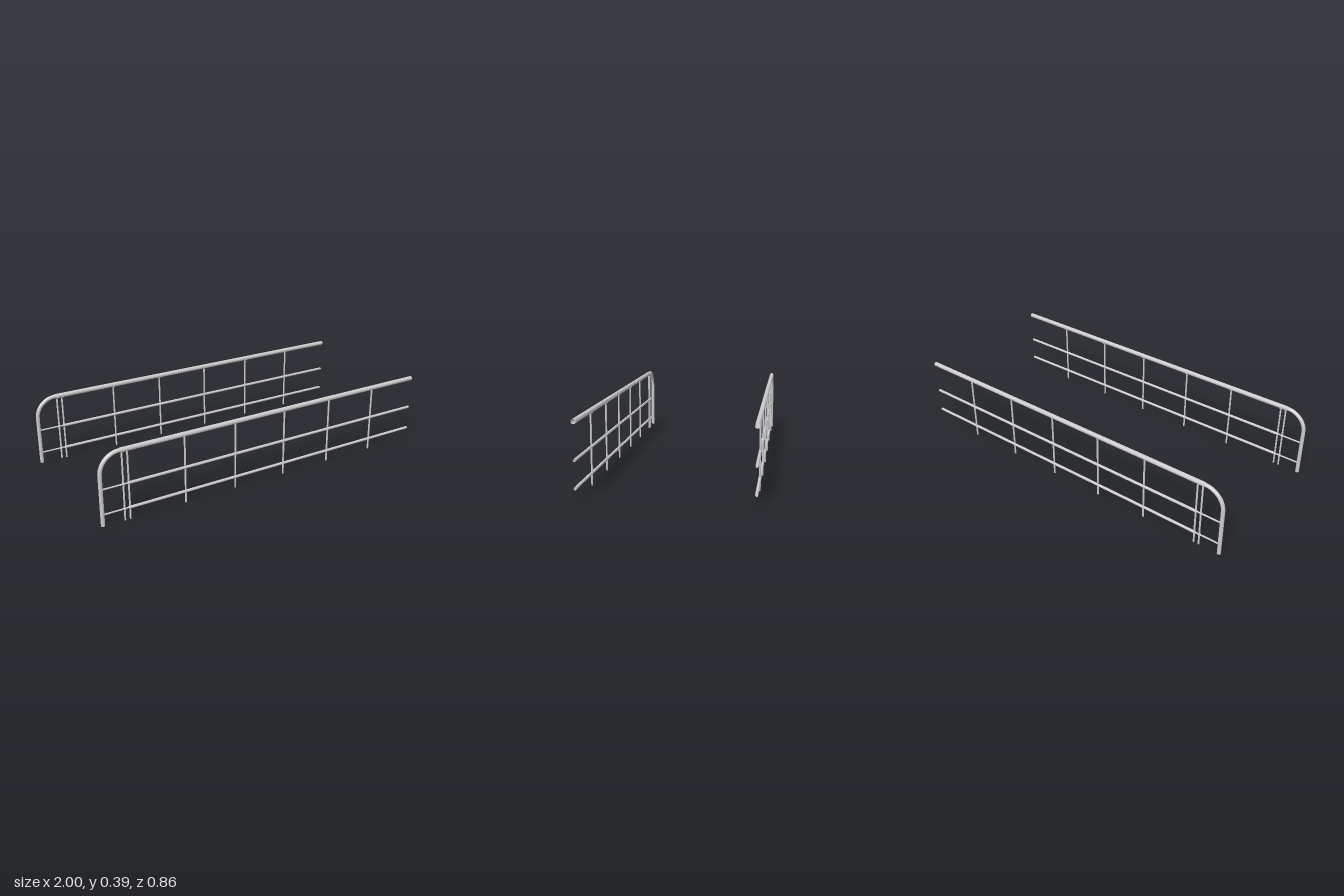
import * as THREE from 'three';

// Open-ended low-poly pipes
const material = new THREE.MeshStandardMaterial({ color: 0xcccccc, flatShading: true, side: THREE.DoubleSide });

function add(group, name, geometry, x = 0, y = 0, z = 0) {
  const mesh = new THREE.Mesh(geometry, material);
  mesh.name = name;
  mesh.position.set(x, y, z);
  group.add(mesh);
  return mesh;
}

// Horizontal open pipe along x
function bar(group, name, x0, x1, y, r, sides) {
  const geometry = new THREE.CylinderGeometry(r, r, x1 - x0, sides, 1, true);
  add(group, name, geometry, (x0 + x1) / 2, y).rotation.z = Math.PI / 2;
}

function createRailing(inward) {
  const railing = new THREE.Group();
  const topY = 0.379;
  const endX = -0.989;
  const bend = 0.108;
  const bendX = endX + bend;
  const corner = topY - bend;
  const rails = [0.197, 0.063];

  // Handrail with a slightly slimmer bent end post
  bar(railing, 'handrail', bendX, 1, topY, 0.0125, 12);
  const k = bend * 0.552;
  const path = new THREE.CurvePath();
  path.add(new THREE.LineCurve3(new THREE.Vector3(endX, 0.004, 0), new THREE.Vector3(endX, corner, 0)));
  path.add(new THREE.CubicBezierCurve3(
    new THREE.Vector3(endX, corner, 0), new THREE.Vector3(endX, corner + k, 0),
    new THREE.Vector3(bendX - k, topY, 0), new THREE.Vector3(bendX, topY, 0)));
  add(railing, 'bentEndPost', new THREE.TubeGeometry(path, 32, 0.0105, 12, false));

  // Lower rails, thinner in the end bay
  for (const y of rails) {
    bar(railing, 'lowerRail', -0.842, 1, y, 0.0075, 10);
    bar(railing, 'endBayRail', endX, -0.842, y, 0.0045, 8);
  }

  // Uprights with collars at the rails and saddles under the handrail
  for (const x of [-0.871, -0.842, -0.53, -0.231, 0.08, 0.383, 0.696]) {
    add(railing, 'upright', new THREE.CylinderGeometry(0.005, 0.005, 0.375, 8), x, 0.1875);
    const saddle = new THREE.CylinderGeometry(0.014, 0.006, 0.008, 12);
    add(railing, 'saddle', saddle, x, 0.368, 0.004 * inward).scale.z = 0.7;
    for (const y of rails) {
      add(railing, 'collar', new THREE.SphereGeometry(0.0085, 10, 6), x, y);
    }
  }
  return railing;
}

export function createModel() {
  const model = new THREE.Group();
  model.name = 'railings';
  for (const side of [1, -1]) {
    const railing = createRailing(-side);
    railing.name = side > 0 ? 'frontRailing' : 'backRailing';
    railing.position.z = 0.419 * side;
    model.add(railing);
  }
  return model;
}
